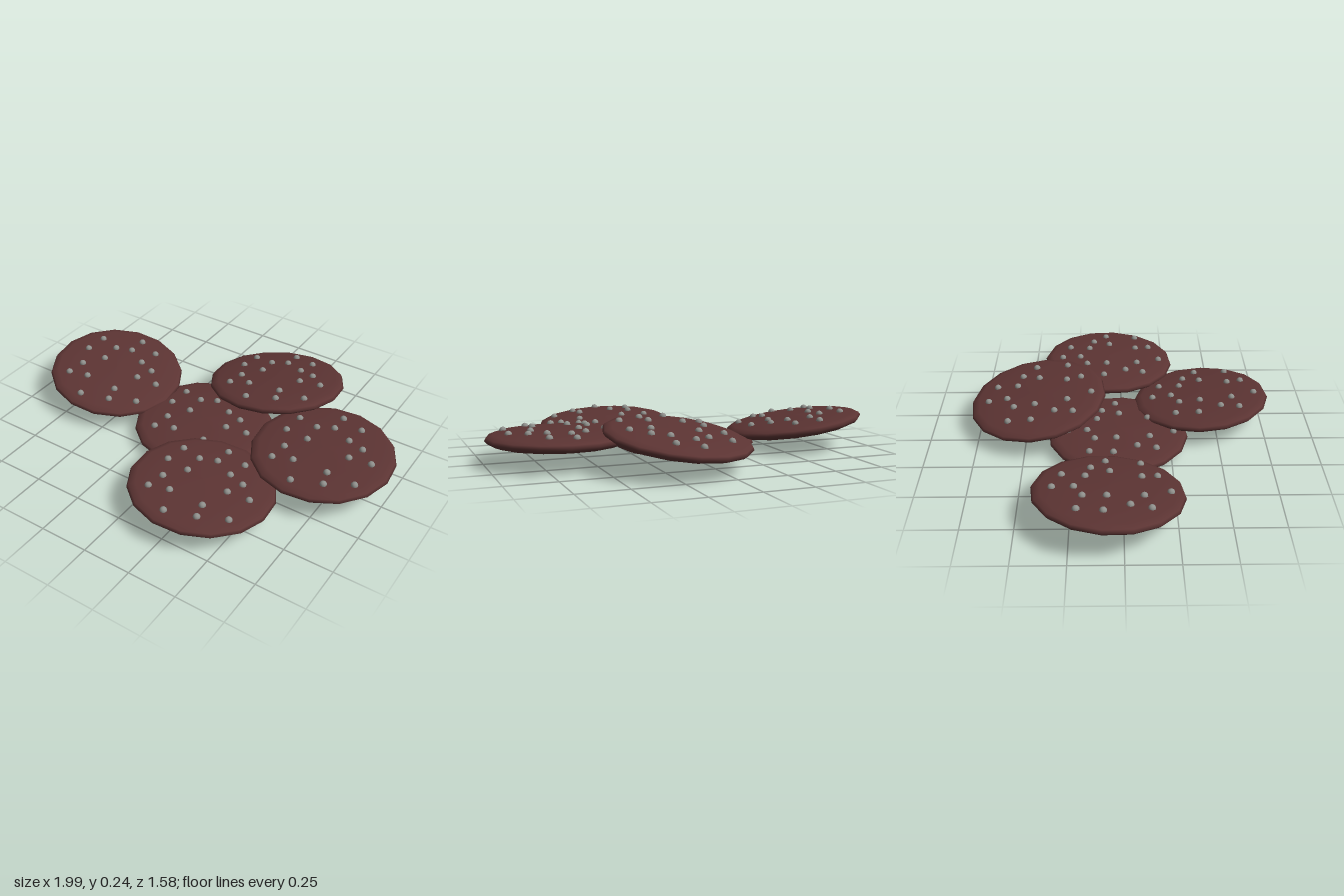
import * as THREE from 'three';

const RADIUS = 0.36;
const biscuitMaterial = new THREE.MeshStandardMaterial({ color: 0x5c3433 });
const chipMaterial = new THREE.MeshStandardMaterial({ color: 0x8f908c });

// Radius and height of the biscuit section, heights measured from its widest ring
const PROFILE = [
  [0, -0.05], [0.2, -0.044], [0.31, -0.028], [0.345, -0.015], [RADIUS, 0],
  [0.352, 0.015], [0.32, 0.027], [0.2, 0.037], [0, 0.042],
];

// Chip positions (x, z) on each biscuit
const CHIPS = [
  [-0.02, -0.26], [0.1, -0.22], [-0.21, -0.145], [-0.1, -0.12], [-0.02, -0.16], [0.085, -0.11],
  [0.17, -0.085], [-0.22, -0.025], [-0.095, -0.01], [0.14, 0.005], [0.25, -0.015], [-0.165, 0.095],
  [-0.18, 0.19], [-0.08, 0.16], [0.1, 0.155], [0.245, 0.155], [0.12, 0.23], [-0.025, 0.285],
];

// Height of the domed top at a distance from the middle
function topHeight(r) {
  for (let i = PROFILE.length - 1; i > 4; i--) {
    const [r0, y0] = PROFILE[i];
    const [r1, y1] = PROFILE[i - 1];
    if (r <= r1) return THREE.MathUtils.mapLinear(r, r0, r1, y0, y1);
  }
  return 0;
}

const discGeometry = new THREE.LatheGeometry(
  PROFILE.map(([r, y]) => new THREE.Vector2(r, y)), 16, THREE.MathUtils.degToRad(-5));
const chipGeometry = new THREE.SphereGeometry(0.018, 10, 8);

function createBiscuit(name) {
  const biscuit = new THREE.Group();
  biscuit.name = name;
  const disc = new THREE.Mesh(discGeometry, biscuitMaterial);
  disc.name = 'disc';
  biscuit.add(disc);
  for (const [x, z] of CHIPS) {
    const chip = new THREE.Mesh(chipGeometry, chipMaterial);
    chip.name = 'chip';
    chip.position.set(x, topHeight(Math.hypot(x, z)), z);
    biscuit.add(chip);
  }
  return biscuit;
}

export function createModel() {
  const model = new THREE.Group();
  model.name = 'biscuits';
  // One biscuit lies flat, the others lean on it: name, position, tilt about x and z
  const layout = [
    ['bottomBiscuit', [-0.03, 0.05, -0.02], 0, 0],
    ['rightBiscuit', [-0.64, 0.12, -0.07], 0.05, -0.13],
    ['leftBiscuit', [0.64, 0.12, -0.07], 0.02, 0],
    ['frontBiscuit', [0.26, 0.093, 0.43], -0.07, -0.05],
    ['backBiscuit', [0.165, 0.148, -0.44], -0.12, 0.1],
  ];
  for (const [name, position, tiltX, tiltZ] of layout) {
    const biscuit = createBiscuit(name);
    biscuit.position.set(...position);
    biscuit.rotation.set(tiltX, 0, tiltZ);
    model.add(biscuit);
  }
  return model;
}
